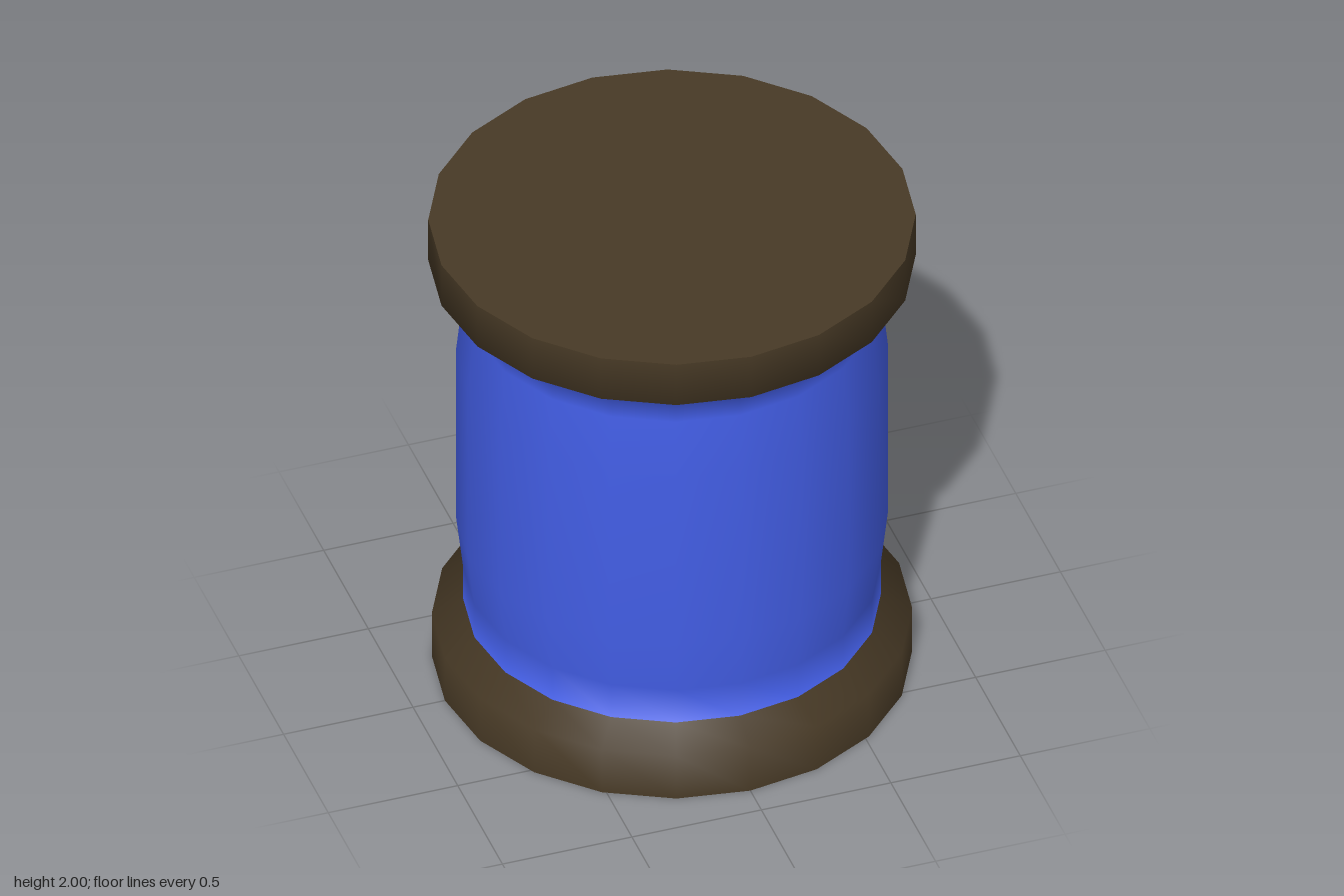
import * as THREE from 'three';

const SIDES = 20;

// Silhouette from the floor up: [radius, height]
const PROFILE = [
  [0.877, 0], [0.877, 0.195], [0.763, 0.262],
  [0.763, 0.41], [0.789, 0.64], [0.789, 1.4], [0.763, 1.64], [0.763, 1.75],
  [0.89, 1.815], [0.89, 2],
];

// Cuts profile rows from..to out of the full lathe, so normals stay smooth across parts
function band(lathe, from, to) {
  const rows = PROFILE.length - 1;
  const all = lathe.index.array;
  const kept = [];
  for (let s = 0; s < SIDES; s++) {
    for (let r = from; r < to; r++) {
      const k = (s * rows + r) * 6;
      kept.push(...all.slice(k, k + 6));
    }
  }
  const part = lathe.clone();
  part.setIndex(kept);
  return part.toNonIndexed();
}

export function createModel() {
  const wood = new THREE.MeshStandardMaterial({ color: 0x483a26 });
  wood.name = 'dark wood';
  const blue = new THREE.MeshStandardMaterial({ color: 0x435ee6 });
  blue.name = 'blue thread';

  const spool = new THREE.Group();
  spool.name = 'threadSpool';
  const add = (name, geometry, material) => {
    const mesh = new THREE.Mesh(geometry, material);
    mesh.name = name;
    spool.add(mesh);
    return mesh;
  };

  // Flanges and wound thread share one smooth surface
  const lathe = new THREE.LatheGeometry(PROFILE.map(([r, y]) => new THREE.Vector2(r, y)), SIDES);
  add('bottomFlange', band(lathe, 0, 2), wood);
  add('thread', band(lathe, 2, 7), blue);
  add('topFlange', band(lathe, 7, 9), wood);

  // Flat end caps
  add('bottomCap', new THREE.CircleGeometry(PROFILE[0][0], SIDES).rotateX(Math.PI / 2), wood);
  add('topCap', new THREE.CircleGeometry(PROFILE[9][0], SIDES).rotateX(-Math.PI / 2), wood).position.y = 2;

  return spool;
}
